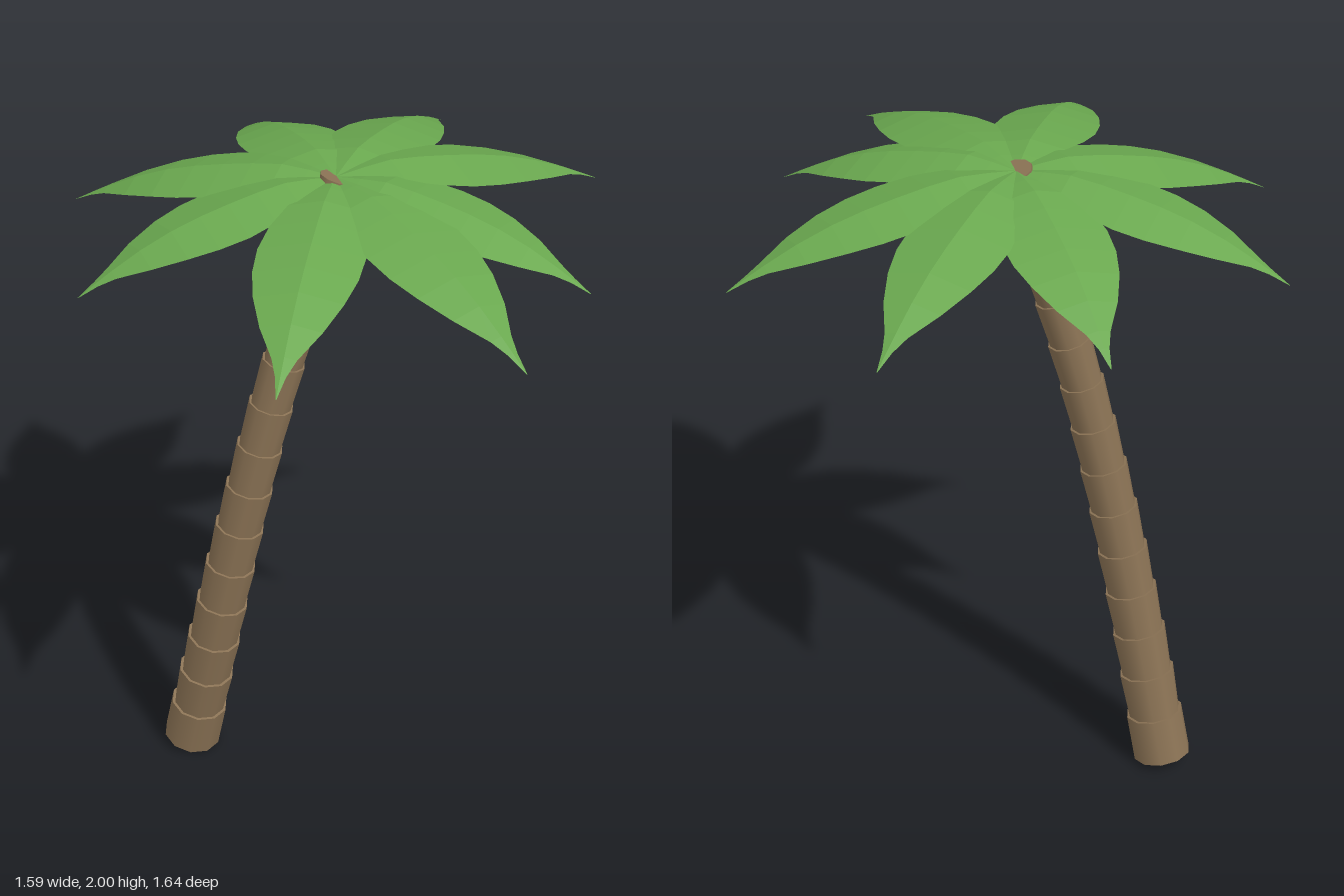
import * as THREE from 'three';

const bark = new THREE.MeshStandardMaterial({ color: 0x8b7355 });
bark.name = 'bark brown';
const frondGreen = new THREE.MeshStandardMaterial({ color: 0x6aa84f, flatShading: true, side: THREE.DoubleSide });
frondGreen.name = 'frond green';
const nutBrown = new THREE.MeshStandardMaterial({ color: 0x5a3a28 });
nutBrown.name = 'nut brown';

const UP = new THREE.Vector3(0, 1, 0);
const CROWN = new THREE.Vector3(-0.04, 0, -0.07);

// Leaning trunk: stacked rings, each flaring towards its top
function makeTrunk() {
  const trunk = new THREE.Group();
  trunk.name = 'trunk';
  const curve = new THREE.CatmullRomCurve3([
    [-0.395, 0.02, -0.37], [-0.36, 0.457, -0.27], [-0.302, 0.89, -0.194],
    [-0.22, 1.32, -0.13], [-0.11, 1.73, -0.08], [-0.034, 1.982, -0.064],
  ].map(p => new THREE.Vector3(...p)));
  const count = 14;
  const radius = t => THREE.MathUtils.lerp(0.09, 0.054, t);
  for (let i = 0; i < count; i++) {
    const a = curve.getPointAt(i / count);
    const b = curve.getPointAt((i + 1) / count);
    const dir = b.clone().sub(a);
    const bottom = i === 0 ? 0.088 : radius(i / count) * 0.9;
    const geo = new THREE.CylinderGeometry(radius((i + 1) / count), bottom, dir.length() + 0.004, 10);
    const ring = new THREE.Mesh(geo, bark);
    ring.name = 'trunkRing';
    ring.position.copy(a).add(b).multiplyScalar(0.5);
    ring.quaternion.setFromUnitVectors(UP, dir.normalize());
    trunk.add(ring);
  }
  return trunk;
}

// Fronds: [distance along, half width, rib height] cross-sections with a roof-like fold
const SECTIONS = [
  [0, 0.02, 1.985], [0.1, 0.06, 1.994], [0.2, 0.1, 1.999], [0.31, 0.133, 1.988],
  [0.42, 0.147, 1.972], [0.53, 0.142, 1.953], [0.64, 0.121, 1.928],
  [0.76, 0.083, 1.891], [0.87, 0.033, 1.848], [0.93, 0.014, 1.822], [1, 0.001, 1.79],
];
const FOLD = 0.22;

function makeFrond(tipX, tipZ) {
  const dx = tipX - CROWN.x, dz = tipZ - CROWN.z;
  const length = Math.hypot(dx, dz);
  const positions = [], index = [];
  SECTIONS.forEach(([t, w, y], i) => {
    for (const side of [-1, 0, 1]) {
      positions.push(side * w, y - Math.abs(side) * w * FOLD, t * length);
    }
    if (i === 0) return;
    for (let k = 0; k < 2; k++) {
      const a = (i - 1) * 3 + k, b = a + 1, c = a + 3, d = a + 4;
      index.push(a, c, b, b, c, d);
    }
  });
  const geo = new THREE.BufferGeometry();
  geo.setAttribute('position', new THREE.Float32BufferAttribute(positions, 3));
  geo.setIndex(index);
  const flat = geo.toNonIndexed();
  flat.computeVertexNormals();
  const frond = new THREE.Mesh(flat, frondGreen);
  frond.name = 'frond';
  frond.position.copy(CROWN);
  frond.rotation.y = Math.atan2(dx, dz);
  return frond;
}

export function createModel() {
  const palm = new THREE.Group();
  palm.name = 'palmTree';
  palm.add(makeTrunk());

  // Crown of eight drooping fronds, given by their tips
  const crown = new THREE.Group();
  crown.name = 'crown';
  const tips = [
    [-0.5, -0.71], [0.155, -0.82], [0.665, -0.515], [0.795, 0.06],
    [0.335, 0.585], [-0.07, 0.815], [-0.66, 0.54], [-0.795, -0.205],
  ];
  for (const [x, z] of tips) crown.add(makeFrond(x, z));
  palm.add(crown);

  // Cluster of nuts under the crown
  const nuts = new THREE.Group();
  nuts.name = 'nuts';
  const nutGeo = new THREE.SphereGeometry(0.047, 14, 10);
  for (const p of [[0.055, 1.915, -0.14], [0.05, 1.912, -0.03], [-0.06, 1.905, -0.15], [0, 1.905, 0.03]]) {
    const nut = new THREE.Mesh(nutGeo, nutBrown);
    nut.name = 'nut';
    nut.position.set(...p);
    nuts.add(nut);
  }
  palm.add(nuts);
  return palm;
}
